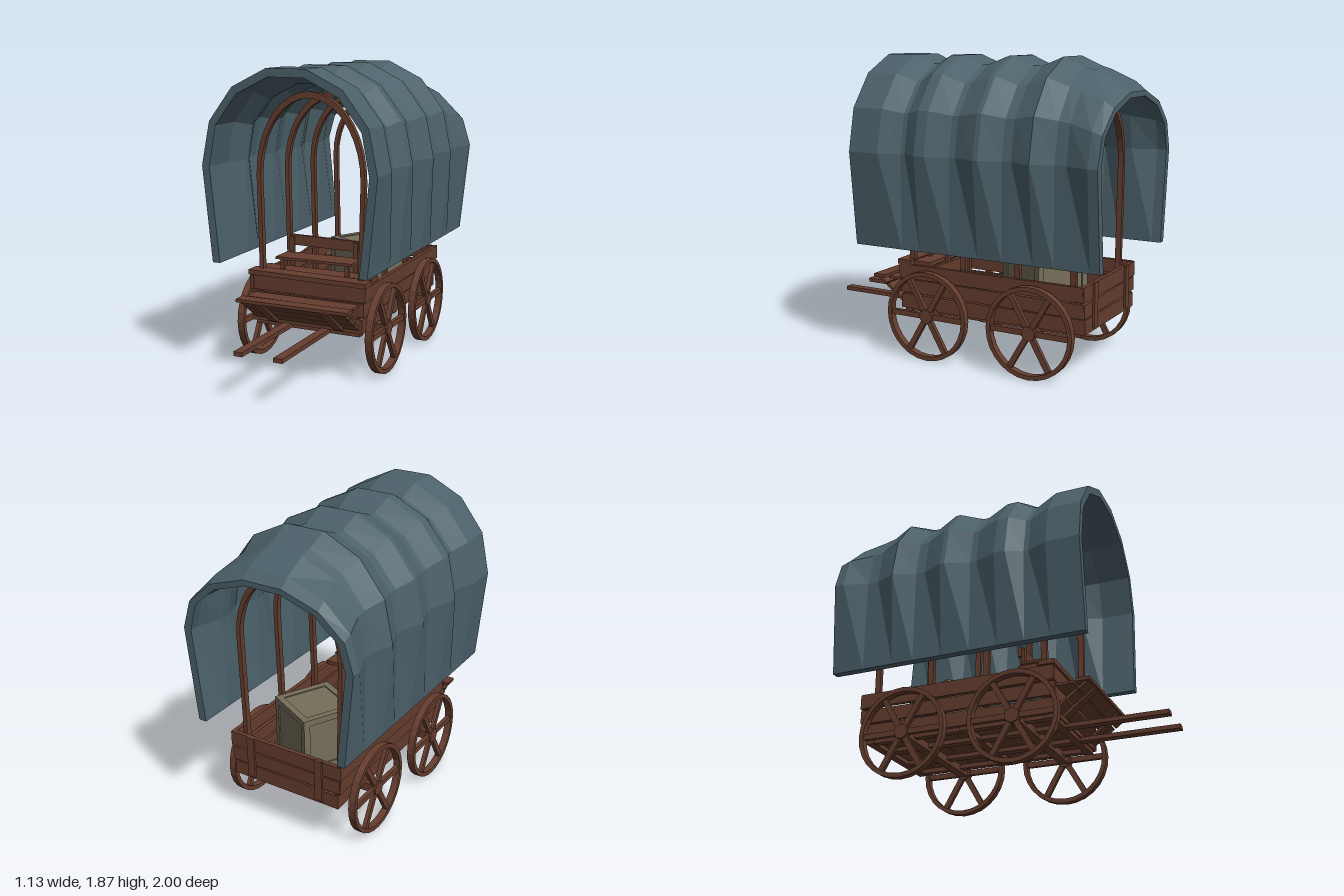
import * as THREE from 'three';

const mat = (name, color, side = THREE.FrontSide) => {
  const m = new THREE.MeshStandardMaterial({ color, side });
  m.name = name;
  return m;
};

export function createModel() {
  const model = new THREE.Group();
  model.name = 'coveredWagon';
  const wood = mat('brownWood', 0x653d2e);
  const cloth = mat('blueGreyCanvas', 0x4c616a);
  const crateWood = mat('khakiCrate', 0x766e5a);

  const add = (name, geometry, material, parent = model) => {
    const mesh = new THREE.Mesh(geometry, material);
    mesh.name = name;
    parent.add(mesh);
    return mesh;
  };
  // box given by its size and centre
  const box = (name, w, h, d, x, y, z, material = wood, parent = model) => {
    const mesh = add(name, new THREE.BoxGeometry(w, h, d), material, parent);
    mesh.position.set(x, y, z);
    return mesh;
  };

  // Canvas: one arch section blended between crest and valley, drooping at the back
  const crest = [[0.506, 0.7], [0.565, 1.286], [0.51, 1.55], [0.353, 1.755], [0.126, 1.866]];
  const valley = [[0.506, 0.7], [0.51, 1.286], [0.465, 1.525], [0.322, 1.705], [0.12, 1.81]];
  const inward = [[1, 0], [1, 0.1], [0.85, 0.45], [0.55, 0.83], [0.2, 1]];
  const stations = [ // z, crest amount, height scale of the roof
    [0.64, 1, 1], [0.43, 1, 1], [0.3, 0, 1], [0.27, 0, 1], [0.17, 1, 1], [0.1, 1, 1],
    [-0.04, 0, 1], [-0.08, 0, 1], [-0.23, 1, 1], [-0.26, 1, 1], [-0.39, 0, 1], [-0.45, 0, 1],
    [-0.59, 1, 1], [-0.72, 0, 1], [-0.79, 0, 0.96], [-0.94, 1, 0.75], [-1, 1, 0.665],
  ];
  const pos = [], idx = [];
  const N = 20;
  for (const [z, k, s] of stations) {
    const half = (t) => crest.map(([x, y], i) => {
      const px = THREE.MathUtils.lerp(valley[i][0], x, k) - t * inward[i][0];
      const py = THREE.MathUtils.lerp(valley[i][1], y, k) - t * inward[i][1];
      return [px, py > 1.286 ? 1.286 + (py - 1.286) * s : py];
    });
    const arch = (t) => {
      const h = half(t);
      return [...h, ...h.map(([x, y]) => [-x, y]).reverse()];
    };
    for (const [x, y] of [...arch(0), ...arch(0.05).reverse()]) pos.push(x, y, z);
  }
  for (let s = 0; s < stations.length - 1; s++) {
    for (let i = 0; i < N; i++) {
      const a = s * N + i, b = s * N + (i + 1) % N;
      idx.push(a, a + N, b, b, a + N, b + N);
    }
  }
  const last = (stations.length - 1) * N;
  for (let i = 0; i < N / 2 - 1; i++) {
    const o = i, p = i + 1, q = N - 2 - i, r = N - 1 - i;
    idx.push(o, p, q, o, q, r);
    idx.push(last + o, last + q, last + p, last + o, last + r, last + q);
  }
  let canvas = new THREE.BufferGeometry();
  canvas.setAttribute('position', new THREE.Float32BufferAttribute(pos, 3));
  canvas.setIndex(idx);
  canvas = canvas.toNonIndexed();
  canvas.computeVertexNormals();
  add('canvasCover', canvas, cloth);

  // Hoops under the canvas
  [[0.33, 1.72], [-0.037, 1.7], [-0.405, 1.68], [-0.77, 1.66]].forEach(([z, top]) => {
    const s = new THREE.Shape();
    s.moveTo(0.343, 0.32);
    s.lineTo(0.362, 1.2);
    s.absellipse(0, 1.2, 0.362, top - 1.2, 0, Math.PI, false);
    s.lineTo(-0.343, 0.32);
    s.lineTo(-0.315, 0.32);
    s.lineTo(-0.334, 1.2);
    s.absellipse(0, 1.2, 0.334, top - 1.24, Math.PI, 0, true);
    s.lineTo(0.315, 0.32);
    const g = new THREE.ExtrudeGeometry(s, { depth: 0.036, bevelEnabled: false, curveSegments: 9 });
    g.translate(0, 0, z - 0.018);
    add('hoop', g, wood);
  });

  // Wagon body: side boards, tailgate, front boards
  const rows = [[0.34, 0.09], [0.438, 0.085], [0.535, 0.09]];
  rows.forEach(([y, h], i) => {
    for (const side of [-1, 1]) {
      box('sideBoard', 0.026, h, 1.25, side * (0.358 + i * 0.01), y, -0.225)
        .rotation.x = [0.003, -0.004, 0.002][i];
    }
    box('tailBoard', 0.74 + i * 0.02, h, 0.026, 0, y, -0.845).rotation.z = [0.006, -0.006, 0.004][i];
    box('frontBoard', 0.7 + i * 0.02, h, 0.024, 0, y, 0.385).rotation.z = [0, 0.008, -0.006][i];
  });
  for (const x of [-0.24, 0.24]) box('tailBatten', 0.05, 0.27, 0.018, x, 0.45, -0.862);

  // Floor planks, shafts and rails
  for (let i = 0; i < 9; i++) box('floorPlank', 0.7, 0.018, 0.128, 0, 0.309, 0.325 - i * 0.137);
  for (const side of [-1, 1]) {
    box('shaft', 0.056, 0.026, 1.82, side * 0.128, 0.287, 0.09);
    box('underRail', 0.045, 0.03, 1.2, side * 0.32, 0.287, -0.22);
  }
  for (const z of [0.36, -0.18, -0.8]) box('crossBar', 0.7, 0.026, 0.05, 0, 0.284, z);

  // Driver's bench and foot board
  box('benchPlank', 0.79, 0.03, 0.1, 0, 0.596, 0.36).rotation.z = -0.008;
  box('benchPlank', 0.76, 0.025, 0.12, 0, 0.594, 0.24);
  box('seat', 0.52, 0.016, 0.16, 0, 0.682, 0.225).rotation.z = 0.008;
  box('backRest', 0.5, 0.066, 0.022, 0.01, 0.765, 0.135).rotation.z = -0.012;
  for (const x of [-0.22, 0.22]) {
    box('backPost', 0.03, 0.21, 0.022, x, 0.685, 0.152);
    box('seatLeg', 0.025, 0.08, 0.025, x, 0.64, 0.28);
    const brace = box('footBrace', 0.06, 0.016, 0.25, x, 0.385, 0.505);
    brace.rotation.x = -0.66;
  }
  box('footPlank', 0.74, 0.02, 0.085, 0, 0.472, 0.57).rotation.z = 0.006;
  box('footPlank', 0.7, 0.016, 0.11, 0, 0.468, 0.455);
  [[0.565, 0.435], [0.495, 0.385], [0.425, 0.335]].forEach(([z, y]) => {
    box('slopedPlank', 0.7, 0.018, 0.078, 0, y + 0.012, z).rotation.x = -0.63;
  });

  // Axles and wheels
  const wheel = (x, z) => {
    const g = new THREE.Group();
    g.name = 'wheel';
    const shape = new THREE.Shape().absarc(0, 0, 0.28, 0, Math.PI * 2, false);
    shape.holes.push(new THREE.Path().absarc(0, 0, 0.253, 0, Math.PI * 2, true));
    const rim = new THREE.ExtrudeGeometry(shape, { depth: 0.045, bevelEnabled: false, curveSegments: 14 });
    rim.translate(0, 0, -0.0225);
    add('rim', rim, wood, g);
    const hub = new THREE.CylinderGeometry(0.045, 0.045, 0.044, 10);
    hub.rotateX(Math.PI / 2);
    add('hub', hub, wood, g);
    for (let i = 0; i < 6; i++) {
      const spoke = new THREE.BoxGeometry(0.235, 0.034, 0.026);
      spoke.translate(0.142, 0, 0);
      add('spoke', spoke, wood, g).rotation.z = i * Math.PI / 3;
    }
    g.rotation.y = Math.PI / 2;
    g.position.set(x, 0.28, z);
    model.add(g);
  };
  for (const z of [0.17, -0.535]) {
    box('axle', 0.83, 0.055, 0.06, 0, 0.282, z);
    for (const x of [-0.433, 0.433]) wheel(x, z);
  }

  // Crate, turned on the floor, with raised frames on every upright face and the lid
  const crate = new THREE.Group();
  crate.name = 'crate';
  box('crateCore', 0.355, 0.355, 0.355, 0, 0, 0, crateWood, crate);
  for (let i = 0; i < 5; i++) {
    const face = new THREE.Group();
    face.name = 'crateFrame';
    for (const s of [-1, 1]) {
      box('frameRail', 0.37, 0.04, 0.008, 0, s * 0.165, 0.181, crateWood, face);
      box('frameStile', 0.04, 0.29, 0.008, s * 0.165, 0, 0.181, crateWood, face);
    }
    if (i < 4) face.rotation.y = i * Math.PI / 2;
    else face.rotation.x = -Math.PI / 2;
    crate.add(face);
  }
  crate.position.set(0.05, 0.502, -0.445);
  crate.rotation.y = -0.472;
  model.add(crate);

  return model;
}
